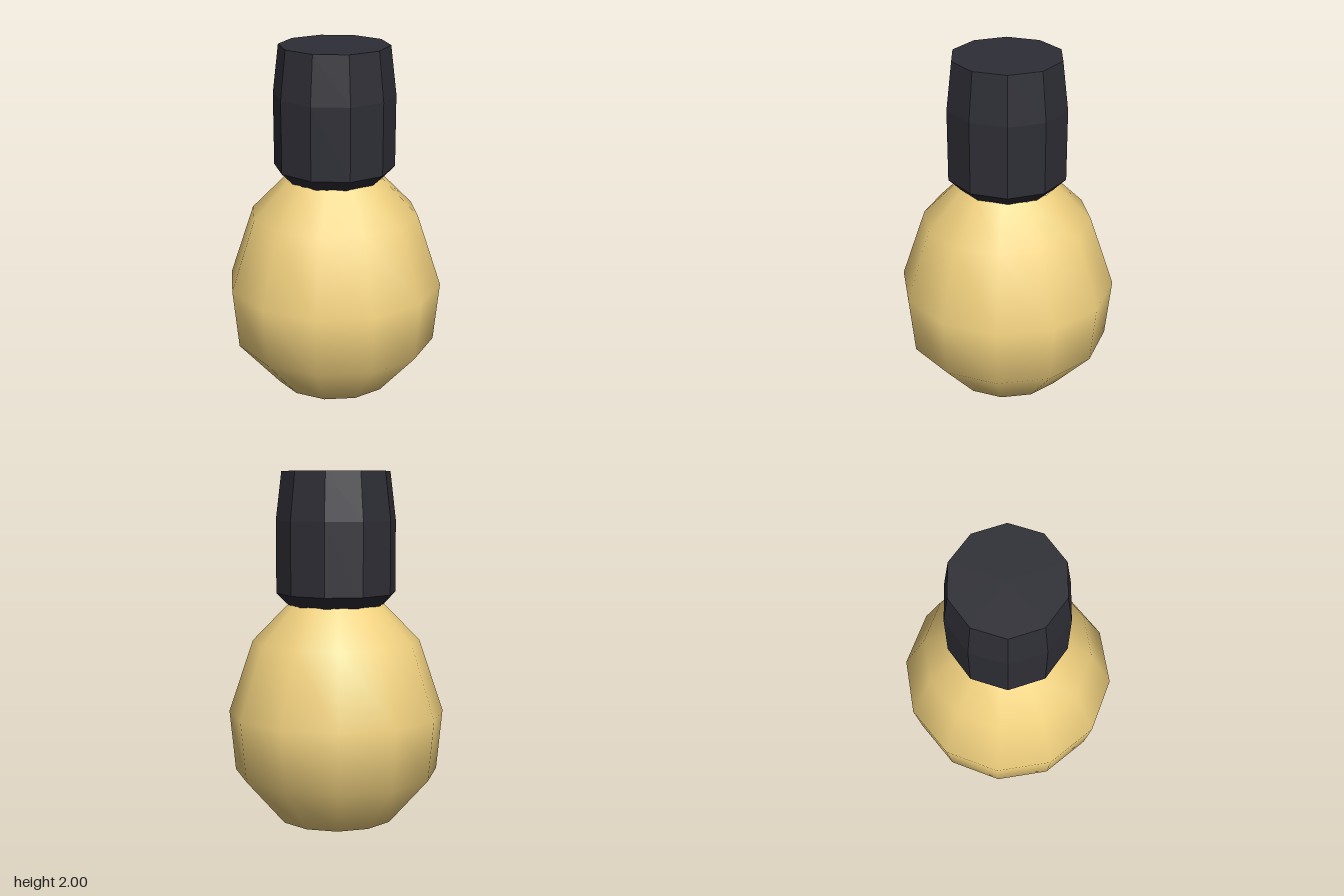
import * as THREE from 'three';

// Turns a profile of [radius, height] pairs around the y axis.
function turned(name, profile, sides, start, color, flatShading) {
  const points = profile.map(([r, y]) => new THREE.Vector2(r, y));
  const geometry = new THREE.LatheGeometry(points, sides, start);
  const material = new THREE.MeshStandardMaterial({ color, flatShading });
  const mesh = new THREE.Mesh(geometry, material);
  mesh.name = name;
  return mesh;
}

export function createModel() {
  const group = new THREE.Group();
  group.name = 'lightBulb';

  // Smooth twelve-sided glass, widest below the middle, pointed at the bottom
  const glass = [[0, 0], [0.335, 0.07], [0.568, 0.335], [0.6, 0.67], [0.465, 1.07], [0.265, 1.275]];
  group.add(turned('glass', glass, 12, 0, 0xf2d280, false));

  // Faceted ten-sided socket with a chamfered lower rim and a tapered top
  const socket = [[0, 1.27], [0.265, 1.27], [0.332, 1.337], [0.332, 1.735], [0.3, 2], [0, 2]];
  group.add(turned('socket', socket, 10, Math.PI / 2, 0x2e2e36, true));

  return group;
}
